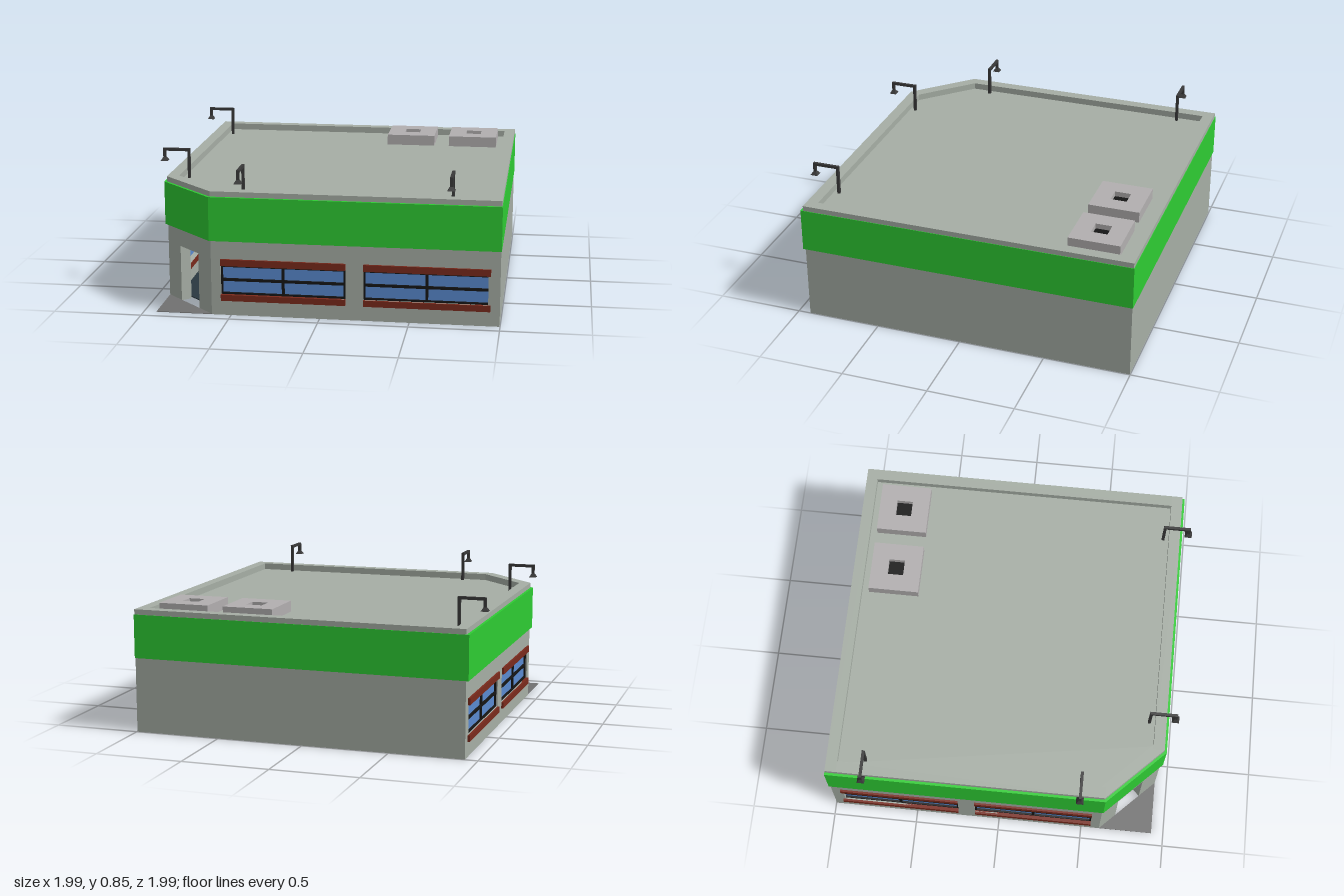
import * as THREE from 'three';

const paint = (color) => new THREE.MeshStandardMaterial({ color, flatShading: true });
const wallMat = paint(0xa6aea5), green = paint(0x2ecc33), red = paint(0x7a2a1c);
const glassMat = paint(0x5a8ad0), black = paint(0x151515), lampMat = paint(0x3a3a3a);
const unitMat = paint(0xb2afb0), paveMat = paint(0x707070), floorMat = paint(0x2a3840);

const THICK = 0.065, HEIGHT = 0.71, ROOF = 0.672;

// Outer footprint as [x, z], running so that every wall faces outwards
const FOOTPRINT = [[-0.61, 0.928], [0.997, 0.928], [0.997, -0.997], [-0.928, -0.997], [-0.928, 0.61]];
const BAND = [[-0.616, 0.943], [1, 0.943], [1, -1], [-0.943, -1], [-0.943, 0.616]];
const INNER = [[-0.583, 0.863], [0.932, 0.863], [0.932, -0.932], [-0.863, -0.932], [-0.863, 0.583]];

function add(parent, name, geometry, material, x = 0, y = 0, z = 0) {
  const mesh = new THREE.Mesh(geometry, material);
  mesh.name = name;
  mesh.position.set(x, y, z);
  parent.add(mesh);
  return mesh;
}

function box(parent, name, material, w, h, d, x, y, z) {
  return add(parent, name, new THREE.BoxGeometry(w, h, d), material, x, y, z);
}

const outline = (pts) => pts.map(([x, z]) => new THREE.Vector2(x, -z));

// Horizontal slab from a plan outline, with an optional hole
function slab(pts, bottom, top, hole) {
  const shape = new THREE.Shape(outline(pts));
  if (hole) shape.holes.push(new THREE.Path(outline(hole)));
  const geo = new THREE.ExtrudeGeometry(shape, { depth: top - bottom, bevelEnabled: false });
  return geo.rotateX(-Math.PI / 2).translate(0, bottom, 0);
}

const rect = (x0, y0, x1, y1) => [[x0, y0], [x1, y0], [x1, y1], [x0, y1]].map((p) => new THREE.Vector2(...p));

// Window of two columns and two rows, centred at cx along its wall
function addWindow(wall, cx) {
  const win = new THREE.Group();
  win.name = 'window';
  win.position.x = cx;
  wall.add(win);
  const w = 0.7, y0 = 0.12, y1 = 0.287, mid = (y0 + y1) / 2, z = -0.018;
  box(win, 'glass', glassMat, w, y1 - y0, 0.01, 0, mid, z - 0.006);
  for (const x of [-w / 2 + 0.005, w / 2 - 0.005]) box(win, 'frameSide', black, 0.01, y1 - y0, 0.02, x, mid, z);
  for (const y of [y0 + 0.005, y1 - 0.005]) box(win, 'frameRail', black, w, 0.01, 0.02, 0, y, z);
  box(win, 'mullion', black, 0.015, y1 - y0, 0.02, 0, mid, z);
  box(win, 'transom', black, w, 0.015, 0.02, 0, mid, z);
  box(win, 'sill', red, w, 0.035, 0.08, 0, 0.1025, -0.028);
  box(win, 'lintel', red, w, 0.038, 0.08, 0, 0.306, -0.028);
}

// Wall standing between two plan points: local x along it, local z outwards
function addWall(parent, name, [ax, az], [bx, bz], windows = [], door = 0) {
  const length = Math.hypot(bx - ax, bz - az);
  const wall = new THREE.Group();
  wall.name = name;
  wall.position.set(ax, 0, az);
  wall.rotation.y = Math.atan2(az - bz, bx - ax);
  parent.add(wall);

  const shape = new THREE.Shape();
  shape.moveTo(0, 0);
  if (door) {
    const l = (length - door) / 2, r = (length + door) / 2;
    shape.lineTo(l, 0).lineTo(l, 0.325).lineTo(r, 0.325).lineTo(r, 0);
  }
  shape.lineTo(length, 0).lineTo(length, HEIGHT).lineTo(0, HEIGHT).closePath();
  for (const cx of windows) {
    shape.holes.push(new THREE.Path(rect(cx - 0.35, 0.12, cx + 0.35, 0.287)));
    addWindow(wall, cx);
  }
  const geo = new THREE.ExtrudeGeometry(shape, { depth: THICK, bevelEnabled: false });
  add(wall, name + 'Panel', geo, wallMat, 0, 0, -THICK);
}

// Roof lamp: post, arm reaching along local +z, drop and shade
function addLamp(parent, x, z, turn) {
  const lamp = new THREE.Group();
  lamp.name = 'roofLamp';
  lamp.position.set(x, 0, z);
  lamp.rotation.y = turn;
  parent.add(lamp);
  const t = 0.016, reach = 0.143;
  box(lamp, 'post', lampMat, t, 0.845 - ROOF, t, 0, (0.845 + ROOF) / 2, 0);
  box(lamp, 'arm', lampMat, t, t, reach, 0, 0.837, reach / 2);
  box(lamp, 'drop', lampMat, t, 0.055, t, 0, 0.8175, reach);
  const shade = new THREE.CylinderGeometry(0.008, 0.03, 0.025, 4).rotateY(Math.PI / 4);
  add(lamp, 'shade', shade, lampMat, 0, 0.783, reach);
}

export function createModel() {
  const model = new THREE.Group();
  model.name = 'shopBuilding';

  // Walls, with the door in the cut corner
  const F = FOOTPRINT;
  addWall(model, 'frontWall', F[0], F[1], [0.405, 1.205]);
  addWall(model, 'leftWall', F[1], F[2]);
  addWall(model, 'backWall', F[2], F[3]);
  addWall(model, 'rightWall', F[3], F[4], [0.402, 1.202]);
  addWall(model, 'cornerWall', F[4], F[0], [], 0.19);

  // Floor, roof, fascia band and corner paving
  add(model, 'floor', slab(INNER, 0.008, 0.014), floorMat);
  add(model, 'roof', slab(INNER, 0.64, ROOF), wallMat);
  add(model, 'fasciaBand', slab(BAND, 0.43, 0.68, FOOTPRINT), green);
  add(model, 'cornerPaving', slab([F[4], [-0.928, 0.928], F[0]], 0, 0.003), paveMat);

  // Roof vents with a square well
  for (const x of [0.355, 0.743]) {
    const vent = new THREE.Group();
    vent.name = 'roofVent';
    vent.position.set(x, 0, -0.743);
    model.add(vent);
    const square = (h) => [[-h, h], [h, h], [h, -h], [-h, -h]];
    add(vent, 'ventCasing', slab(square(0.148), ROOF, 0.735, square(0.047)), unitMat);
    box(vent, 'ventOpening', black, 0.094, 0.02, 0.094, 0, 0.695, 0);
  }

  // Lamps over both window fronts
  for (const x of [-0.44, 0.725]) addLamp(model, x, 0.83, 0);
  for (const z of [-0.775, 0.468]) addLamp(model, -0.83, z, -Math.PI / 2);

  return model;
}
